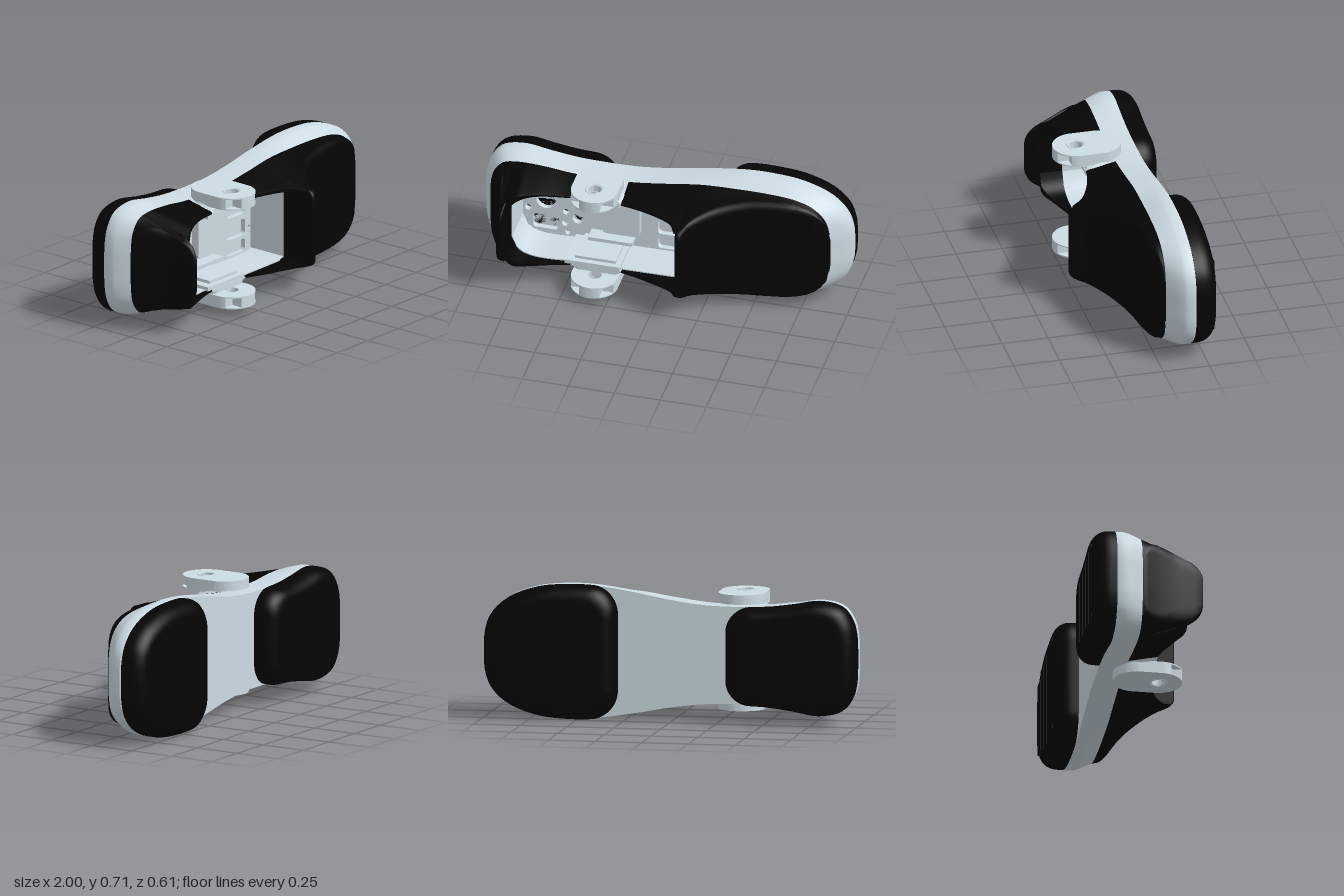
import * as THREE from 'three';
import { toCreasedNormals } from 'three/addons/utils/BufferGeometryUtils.js';

const MID = 0.357; // height of the mirror plane
const BASE = -0.04; // where the shell meets the sole
const FLOOR = -0.12; // cavity floor
const RIM = 0.1; // upper edge of the grey cavity liner

const grey = new THREE.MeshStandardMaterial({ color: 0xcddbe3, side: THREE.DoubleSide });
grey.name = 'grey plastic';
const black = new THREE.MeshStandardMaterial({ color: 0x050505, side: THREE.DoubleSide });
black.name = 'black rubber';

const spline = (pts, n) =>
  new THREE.CatmullRomCurve3(pts.map(([a, b]) => new THREE.Vector3(a, b, 0)), false, 'centripetal').getPoints(n);

// Turns a row of points into a function of x
function along(pts) {
  const p = spline(pts, 160);
  return (x) => {
    for (let i = 1; i < p.length; i++) {
      if (x <= p[i].x && p[i].x > p[i - 1].x) {
        const t = Math.max(0, (x - p[i - 1].x) / (p[i].x - p[i - 1].x));
        return p[i - 1].y + t * (p[i].y - p[i - 1].y);
      }
    }
    return p[p.length - 1].y;
  };
}

// Half outlines as [x, half width]: widest line of the sole, and foot of the shell
const soleHalf = [[-1, 0], [-0.996, 0.12], [-0.975, 0.205], [-0.92, 0.275], [-0.8, 0.304], [-0.65, 0.282], [-0.5, 0.264],
  [-0.2, 0.262], [0, 0.285], [0.2, 0.322], [0.4, 0.352], [0.55, 0.356], [0.72, 0.338], [0.88, 0.275], [0.965, 0.19], [0.995, 0.1], [1, 0]];
const shellHalf = [[-0.95, 0], [-0.947, 0.12], [-0.93, 0.2], [-0.88, 0.26], [-0.8, 0.278], [-0.65, 0.274], [-0.5, 0.258],
  [-0.2, 0.257], [0, 0.281], [0.2, 0.31], [0.4, 0.317], [0.55, 0.316], [0.7, 0.303], [0.8, 0.268], [0.87, 0.2], [0.897, 0.1], [0.9, 0]];
const soleWidth = along(soleHalf);
const shellWidth = along(shellHalf);

// Shell height along the foot, and half width of the cavity
const shellTop = along([[-0.95, -0.035], [-0.9, 0.06], [-0.86, 0.16], [-0.838, 0.25], [-0.828, 0.3], [-0.812, 0.3], [-0.79, 0.235],
  [-0.7, 0.18], [-0.47, 0.12], [-0.2, 0.12], [0, 0.17], [0.1, 0.225], [0.142, 0.3], [0.165, 0.3], [0.2, 0.23], [0.3, 0.14],
  [0.45, 0.07], [0.6, 0.04], [0.75, 0.012], [0.85, -0.015], [0.9, -0.036]]);

// Inward lean of the sides: strong at the heel peak, light at the ankle
const { lerp, smoothstep } = THREE.MathUtils;
const heelness = (x) => 1 - smoothstep(x, -0.83, -0.74);
const lean = (x) => lerp(0.22, 0.31, smoothstep(x, -0.1, 0.2)) + 0.2 * heelness(x);
const sideAt = (x, z) => Math.max(0.02, shellWidth(x) - lean(x) * (z - BASE));
const wallTop = (x) => Math.min(shellTop(x), x < 0 ? 0.22 : 0.275);
const cavityCurve = along([[-0.8, 0.1], [-0.785, 0.15], [-0.75, 0.19], [-0.68, 0.213], [-0.5, 0.214], [0.14, 0.21]]);
const cavity = (x) => Math.min(cavityCurve(x), sideAt(x, wallTop(x)) - 0.01);

// Skin over closed rings of equal length, capped at the start and, if wanted, at the end
function loft(rings, crease = 0.7, capEnd = true) {
  const n = rings[0].length;
  const pos = [];
  const idx = [];
  rings.forEach((r) => r.forEach((p) => pos.push(...p)));
  for (let k = 0; k < rings.length - 1; k++) {
    for (let i = 0; i < n; i++) {
      const a = k * n + i, b = k * n + ((i + 1) % n);
      idx.push(a, b, b + n, a, b + n, a + n);
    }
  }
  (capEnd ? [0, rings.length - 1] : [0]).forEach((k) => {
    const c = pos.length / 3;
    pos.push(...[0, 1, 2].map((d) => rings[k].reduce((s, p) => s + p[d], 0) / n));
    for (let i = 0; i < n; i++) {
      const a = k * n + i, b = k * n + ((i + 1) % n);
      idx.push(c, ...(k ? [a, b] : [b, a]));
    }
  });
  const g = new THREE.BufferGeometry();
  g.setAttribute('position', new THREE.Float32BufferAttribute(pos, 3));
  g.setIndex(idx);
  return toCreasedNormals(g, crease);
}

const stations = (a, b, n) => Array.from({ length: n + 1 }, (_, i) => a + ((b - a) * i) / n);

// Full ring, counter-clockwise from the front, out of a half outline
function fullRing(half, z) {
  const low = half.map((p) => [p.x, MID - p.y, z]);
  const high = half.slice(1, -1).reverse().map((p) => [p.x, MID + p.y, z]);
  return [...low, ...high];
}

// Solid shell section at x with rounded shoulders
function solidSection(x) {
  const top = shellTop(x);
  const r = Math.min(lerp(0.05, 0.12, heelness(x)), (top - BASE) * 0.6);
  const half = [[shellWidth(x), BASE]];
  const w = sideAt(x, top - r);
  for (let i = 0; i <= 6; i++) {
    const a = (i / 6) * Math.PI / 2;
    half.push([Math.max(0, w - r + r * Math.cos(a)), top - r + r * Math.sin(a)]);
  }
  return [...half.map(([y, z]) => [x, MID + y, z]), ...half.reverse().map(([y, z]) => [x, MID - y, z])];
}

// One side wall of the cavity, or the thin liner on its inside
function sideWall(x0, x1, sign, liner) {
  return loft(stations(x0, x1, 28).map((x) => {
    const top = liner ? Math.min(wallTop(x) - 0.006, RIM) : wallTop(x);
    const c = cavity(x);
    const out = Math.max(sideAt(x, top - 0.02), c + 0.01);
    const pts = liner
      ? [[c + 0.002, FLOOR - 0.02], [c + 0.002, top], [c - 0.006, top], [c - 0.006, FLOOR - 0.02]]
      : [[shellWidth(x), BASE], [out, top - 0.015], [out - 0.006, top], [c, top], [c, BASE]];
    const ring = pts.map(([y, z]) => [x, MID + sign * y, z]);
    return sign > 0 ? ring : ring.reverse();
  }));
}

// Tread pad between two x values; the inner end has rounded corners
function padRings(a, b, innerIsB) {
  const r = 0.13;
  const half = stations(0, Math.PI, 60).map((t) => {
    const x = (a + b) / 2 - ((b - a) / 2) * Math.cos(t);
    const d = innerIsB ? b - x : x - a;
    const cut = d < r ? r - Math.sqrt(Math.max(0, r * r - (r - d) ** 2)) : 0;
    return new THREE.Vector3(x, soleWidth(x) - cut, 0);
  });
  half.unshift(new THREE.Vector3(a, 0, 0));
  half.push(new THREE.Vector3(b, 0, 0));
  const cx = (a + b) / 2, hx = (b - a) / 2;
  return stations(0, 1, 8).map((t) => {
    const q = (t * Math.PI) / 2;
    const inset = 0.075 * (1 - Math.sin(q));
    const ring = half.map((p) => new THREE.Vector3(cx + (p.x - cx) * (1 - inset / hx), p.y * (1 - inset / 0.33), 0));
    return fullRing(ring, -0.215 - 0.088 * Math.cos(q));
  }).concat([fullRing(half, -0.182)]);
}

function roundedRect(path, x, y, w, h, r) {
  path.moveTo(x - w / 2 + r, y - h / 2);
  [[1, -1, -90], [1, 1, 0], [-1, 1, 90], [-1, -1, 180]].forEach(([sx, sy, deg]) => {
    const a = (deg * Math.PI) / 180;
    path.absarc(x + sx * (w / 2 - r), y + sy * (h / 2 - r), r, a, a + Math.PI / 2, false);
  });
  return path;
}

// Flared shoulder that carries an ankle bracket
function shoulder(sign) {
  return loft([[0.215, 0.165], [0.232, 0.148], [0.242, 0.135], [0.252, 0.126], [0.27, 0.122]].map(([y, r]) => {
    const ring = stations(0, Math.PI * 2 * (39 / 40), 39).map((a) =>
      [-0.335 + r * Math.sin(a), MID + sign * y, Math.min(0.115, 0.03 + r * Math.cos(a))]);
    return sign > 0 ? ring : ring.reverse();
  }));
}

// Layer of an ankle bracket, lying flat; the core is notched at both front corners for screws
function bracketLayer(depth, notched) {
  const R = 0.125, s = new THREE.Shape();
  s.absarc(0, 0.025, R, Math.PI, Math.PI * 2, false);
  if (notched) {
    const low = Math.asin(0.05 / R), high = Math.acos(0.055 / R);
    s.absarc(0, 0.142, R, 0, low, false);
    s.lineTo(0.055, 0.192);
    s.absarc(0, 0.142, R, high, Math.PI - high, false);
    s.lineTo(-0.055, 0.192);
    s.absarc(0, 0.142, R, Math.PI - low, Math.PI, false);
  } else {
    s.absarc(0, 0.142, R, 0, Math.PI, false);
  }
  s.holes.push(new THREE.Path().absarc(0, 0.142, 0.036, 0, Math.PI * 2, true));
  const g = new THREE.ExtrudeGeometry(s, { depth, bevelEnabled: false, curveSegments: 24 });
  return toCreasedNormals(g.rotateX(Math.PI / 2).translate(0, depth / 2, 0), 0.6);
}

export function createModel() {
  const model = new THREE.Group();
  const add = (name, geo, mat, x = 0, y = 0, z = 0) => {
    const m = new THREE.Mesh(geo, mat);
    m.name = name;
    m.position.set(x, y, z);
    model.add(m);
  };

  // Sole: rings from the widest outline to the foot of the shell, open towards the cavity
  const sole = spline(soleHalf, 96), foot = spline(shellHalf, 96);
  add('sole', loft([[-0.182, 0.06], [-0.174, 0], [-0.135, 0], [-0.115, 0.13], [-0.08, 0.52], [BASE, 1]].map(([z, t]) =>
    fullRing(sole.map((p, i) => p.clone().lerp(foot[i], t)), z)), 0.6, false), grey);

  // Tread pads with faint raised ribs
  [['heelPad', -1, -0.295, true], ['toePad', 0.29, 1, false]].forEach(([name, a, b, inner]) => {
    add(name, loft(padRings(a, b, inner), 0.6), black);
    stations(a + 0.15, b - 0.15, 4).forEach((x) =>
      add(name + 'Rib', new THREE.BoxGeometry(0.08, 2 * soleWidth(x) - 0.18, 0.01), black, x, MID, -0.3));
  });

  // Shell: solid toe and heel, walls along the cavity
  add('toeShell', loft(stations(0, 1, 40).map((t) => solidSection(0.14 + 0.759 * t ** 1.3))), black);
  add('heelShell', loft(stations(-0.949, -0.8, 24).map(solidSection)), black);
  [1, -1].forEach((s) => {
    add('heelSideWall', sideWall(-0.801, -0.472, s, false), black);
    add('ankleSideWall', sideWall(-0.472, -0.198, s, false), grey);
    add('archSideWall', sideWall(-0.198, 0.142, s, false), black);
    add('cavityLiner', sideWall(-0.8, 0.14, s, true), grey);
  });
  const linerHeight = RIM - FLOOR + 0.02;
  add('heelLiner', new THREE.BoxGeometry(0.006, 0.21, linerHeight), grey, -0.798, MID, RIM - linerHeight / 2);
  add('toeLiner', new THREE.BoxGeometry(0.006, 0.38, linerHeight), grey, 0.138, MID, RIM - linerHeight / 2);

  // Cavity floor with round and rectangular pockets
  const floor = new THREE.Shape();
  const xs = stations(-0.8, 0.14, 40);
  xs.forEach((x, i) => (i ? floor.lineTo(x, -cavity(x)) : floor.moveTo(x, -cavity(x))));
  [...xs].reverse().forEach((x) => floor.lineTo(x, cavity(x)));
  const circle = (x, y, r) => floor.holes.push(new THREE.Path().absarc(x, y, r, 0, Math.PI * 2, true));
  const pocket = (x, y, w, h) => floor.holes.push(roundedRect(new THREE.Path(), x, y, w, h, 0.02));
  circle(-0.67, 0, 0.052);
  [1, -1].forEach((s) => {
    pocket(-0.67, s * 0.138, 0.14, 0.085);
    [[-0.495, 0.09, 0.03], [-0.565, 0.13, 0.018], [-0.55, 0.185, 0.015], [-0.56, 0.055, 0.018], [-0.765, 0.06, 0.018], [0.12, 0.07, 0.01]]
      .forEach(([x, y, r]) => circle(x, s * y, r));
    pocket(0.015, s * 0.06, 0.15, 0.09);
    pocket(0.015, s * 0.16, 0.15, 0.07);
  });
  add('cavityFloor', new THREE.ExtrudeGeometry(floor, { depth: 0.03, bevelEnabled: false, curveSegments: 20 }), grey, 0, MID, FLOOR - 0.03);

  // Raised seat in the middle of the floor, with stepped flanges beside the ankle
  const seat = roundedRect(new THREE.Shape(), -0.25, 0, 0.2, 0.24, 0.02);
  add('floorSeat', new THREE.ExtrudeGeometry(seat, { depth: 0.045, bevelEnabled: false }), grey, 0, MID, FLOOR);
  [1, -1].forEach((s) => {
    add('floorRail', new THREE.BoxGeometry(0.24, 0.02, 0.08), grey, -0.3, MID + s * 0.148, FLOOR + 0.04);
    add('innerFlange', new THREE.BoxGeometry(0.22, 0.022, 0.21), grey, -0.345, MID + s * 0.184, FLOOR + 0.105);
    add('outerFlange', new THREE.BoxGeometry(0.3, 0.022, 0.24), grey, -0.355, MID + s * 0.2, FLOOR + 0.12);
  });

  // Ankle brackets: layered plates with a pivot hole and collar, on flared shoulders
  const core = bracketLayer(0.052, true), skin = bracketLayer(0.007, false);
  const collar = new THREE.TorusGeometry(0.046, 0.005, 8, 32).rotateX(Math.PI / 2);
  [1, -1].forEach((s) => {
    add('bracketCore', core, grey, -0.335, MID + s * 0.275, 0);
    [0.2455, 0.3045].forEach((y) => add('bracketSkin', skin, grey, -0.335, MID + s * y, 0));
    add('pivotCollar', collar, grey, -0.335, MID + s * 0.307, 0.142);
    add('bracketShoulder', shoulder(s), grey);
  });
  return model;
}
